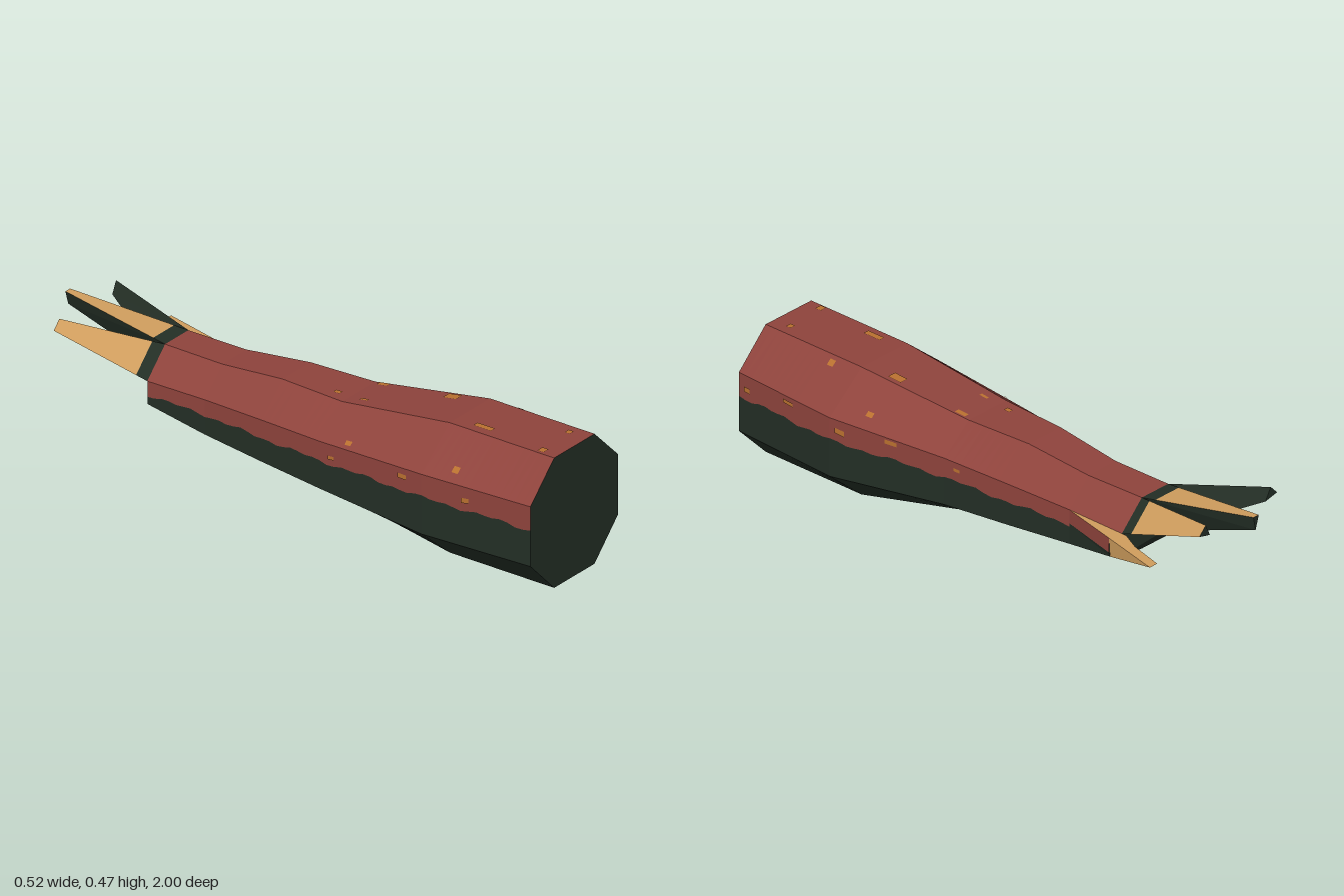
import * as THREE from 'three';

const mat = (name, color, side = THREE.FrontSide) =>
  Object.assign(new THREE.MeshStandardMaterial({ color, side }), { name });

// Flat-shaded mesh from a list of convex polygons
function faces(name, polys, material) {
  const pos = [];
  for (const p of polys)
    for (let i = 1; i < p.length - 1; i++) pos.push(...p[0], ...p[i], ...p[i + 1]);
  const g = new THREE.BufferGeometry();
  g.setAttribute('position', new THREE.Float32BufferAttribute(pos, 3));
  g.computeVertexNormals();
  const m = new THREE.Mesh(g, material);
  m.name = name;
  return m;
}

// z, left x, right x, top-left x, top-right x, top y, upper side y, lower side y, bottom y
const stations = [
  [1, -0.235, 0.235, -0.108, 0.108, 0.468, 0.343, 0.128, 0],
  [0.58, -0.26, 0.26, -0.108, 0.108, 0.468, 0.343, 0.128, 0],
  [0.15, -0.235, 0.18, -0.113, 0.065, 0.416, 0.322, 0.152, 0.083],
  [-0.1, -0.21, 0.155, -0.1, 0.05, 0.416, 0.312, 0.162, 0.12],
  [-0.35, -0.185, 0.13, -0.09, 0.04, 0.39, 0.3, 0.175, 0.135],
  [-0.58, -0.185, 0.13, -0.09, 0.035, 0.392, 0.297, 0.215, 0.205],
];

function stationAt(z) {
  let i = 0;
  while (i < stations.length - 2 && z < stations[i + 1][0]) i++;
  const a = stations[i], b = stations[i + 1];
  const t = (z - a[0]) / (b[0] - a[0]);
  return a.map((v, k) => v + (b[k] - v) * t);
}

// Wavy border between painted upper half and dark lower half
const border = (z) => 0.253 + 0.008 * Math.sin(z * 41) * Math.cos(z * 17) - 0.008 * Math.cos((z - 0.3) * 3.2 + 2);

function upper(z) {
  const [, l, r, tl, tr, top, uy] = stationAt(z), b = border(z);
  return [[r, b, z], [r, uy, z], [tr, top, z], [tl, top, z], [l, uy, z], [l, b, z]];
}
function lower(z) {
  const [, l, r, tl, tr, , , ly, bot] = stationAt(z), b = border(z);
  return [[l, b, z], [l, ly, z], [tl, bot, z], [tr, bot, z], [r, ly, z], [r, b, z]];
}

function loft(section, zs) {
  const polys = [];
  for (let i = 0; i < zs.length - 1; i++) {
    const a = section(zs[i]), b = section(zs[i + 1]);
    for (let j = 0; j < a.length - 1; j++) polys.push([a[j], b[j], b[j + 1], a[j + 1]]);
  }
  return polys;
}

const mix = (a, b, t) => a.map((v, k) => v + (b[k] - v) * t);

export function createModel() {
  const red = mat('red bark', 0x8e433c);
  const dark = mat('dark green underside', 0x232e25, THREE.DoubleSide);
  const tan = mat('tan wood', 0xcf9d5d, THREE.DoubleSide);
  const orange = mat('orange fleck', 0xb8702f, THREE.DoubleSide);
  const model = new THREE.Group();
  model.name = 'brokenLog';

  // Trunk, each stretch divided finely for the wavy border
  const zs = [1];
  for (let i = 1; i < stations.length; i++) {
    const z0 = stations[i - 1][0], z1 = stations[i][0], n = Math.round((z0 - z1) / 0.03);
    for (let k = 1; k <= n; k++) zs.push(z0 + ((z1 - z0) * k) / n);
  }
  model.add(faces('upperTrunk', loft(upper, zs), red));
  model.add(faces('lowerTrunk', loft(lower, zs), dark));
  model.add(faces('frontCap', [[...upper(1), ...lower(1)]], dark));

  // Broken end closes to a point behind the last section
  const end = stations[stations.length - 1][0];
  const root = [-0.03, 0.26, -0.62];
  const rim = [...upper(end), ...lower(end)];
  model.add(faces('brokenEnd', rim.map((p, i) => [p, root, rim[(i + 1) % rim.length]]), dark));

  // Three upper splinters: base corners a and b, tip corners p and q, lower tip t
  const ring = upper(end);
  const splinters = [
    ['leftSplinter', 3, [0.13, 0.412, -0.92], [0.1, 0.443, -0.92], [0.08, 0.4, -0.92], 1],
    ['middleSplinter', 2, [-0.04, 0.445, -1], [-0.065, 0.445, -1], [-0.05, 0.395, -1], 2],
    ['rightSplinter', 1, [-0.23, 0.443, -0.9], [-0.26, 0.412, -0.9], [-0.205, 0.4, -0.9], 3],
  ];
  for (const [name, , p, q, t, j] of splinters) {
    const a = ring[j], b = ring[j + 1];
    const a1 = mix(a, p, 0.12), b1 = mix(b, q, 0.12);
    const g = new THREE.Group();
    g.name = name;
    g.add(faces('splinterWood', [[a1, p, q, b1]], tan));
    g.add(faces('splinterChar', [
      [a, a1, b1, b], [a, root, t], [a, t, p], [b, q, t], [b, t, root], [p, t, q],
    ], dark));
    model.add(g);
  }

  // Side splinter bending away from the trunk
  const s0 = [0.13, 0.3, -0.35], s1 = [0.13, 0.25, -0.35], s2 = [0.13, 0.175, -0.35];
  const m0 = [0.18, 0.298, -0.57], m1 = [0.18, 0.245, -0.57], m2 = [0.175, 0.228, -0.57];
  const tip = [0.235, 0.298, -0.8], tipIn = [0.2, 0.298, -0.8];
  const notch = [0.165, 0.298, -0.67], inner = [0.13, 0.298, -0.6], low = [0.13, 0.215, -0.58];
  const side = new THREE.Group();
  side.name = 'sideSplinter';
  side.add(faces('sideBark', [[s0, s1, m1, m0]], red));
  side.add(faces('sideWood', [
    [m0, m2, tip], [s0, m0, inner], [m0, notch, inner], [m0, tip, tipIn, notch],
  ], tan));
  side.add(faces('sideUnderside', [
    [s1, s2, m2, m1], [s2, low, m2], [m2, low, tip], [tip, low, tipIn],
    [tipIn, low, notch], [notch, low, inner],
  ], dark));
  model.add(side);

  // Flecks: panel, position across panel, z, half width across, half length
  const flecks = [
    [2, 0.82, 0.69, 0.05, 0.035], [2, 0.15, 0.46, 0.08, 0.025], [2, 0.08, 0.19, 0.05, 0.02],
    [2, 0.9, 0.94, 0.06, 0.012], [2, 0.2, 0.93, 0.05, 0.01], [2, 0.75, 0.1, 0.05, 0.012],
    [2, 0.78, 0.21, 0.03, 0.015], [1, 0.85, 0.69, 0.06, 0.012], [1, 0.3, 0.46, 0.05, 0.012],
    [3, 0.75, 0.69, 0.06, 0.012], [3, 0.85, 0.26, 0.05, 0.012],
    [0, 0.45, 0.96, 0.1, 0.012], [0, 0.75, 0.77, 0.08, 0.022], [0, 0.5, 0.54, 0.12, 0.018],
    [0, 0.8, 0.35, 0.1, 0.022], [0, 0.6, 0.1, 0.08, 0.012],
    [4, 0.55, 0.75, 0.1, 0.015], [4, 0.35, 0.5, 0.1, 0.018], [4, 0.6, 0.2, 0.08, 0.012],
  ];
  const at = (j, t, z) => {
    const s = upper(z), p = mix(s[j], s[j + 1], t);
    return [p[0] * 1.015, p[1] + (p[1] - 0.25) * 0.015, z];
  };
  model.add(faces('flecks', flecks.map(([j, t, z, w, h]) => [
    at(j, t - w, z + h), at(j, t - w, z - h), at(j, t + w, z - h), at(j, t + w, z + h),
  ]), orange));

  return model;
}
